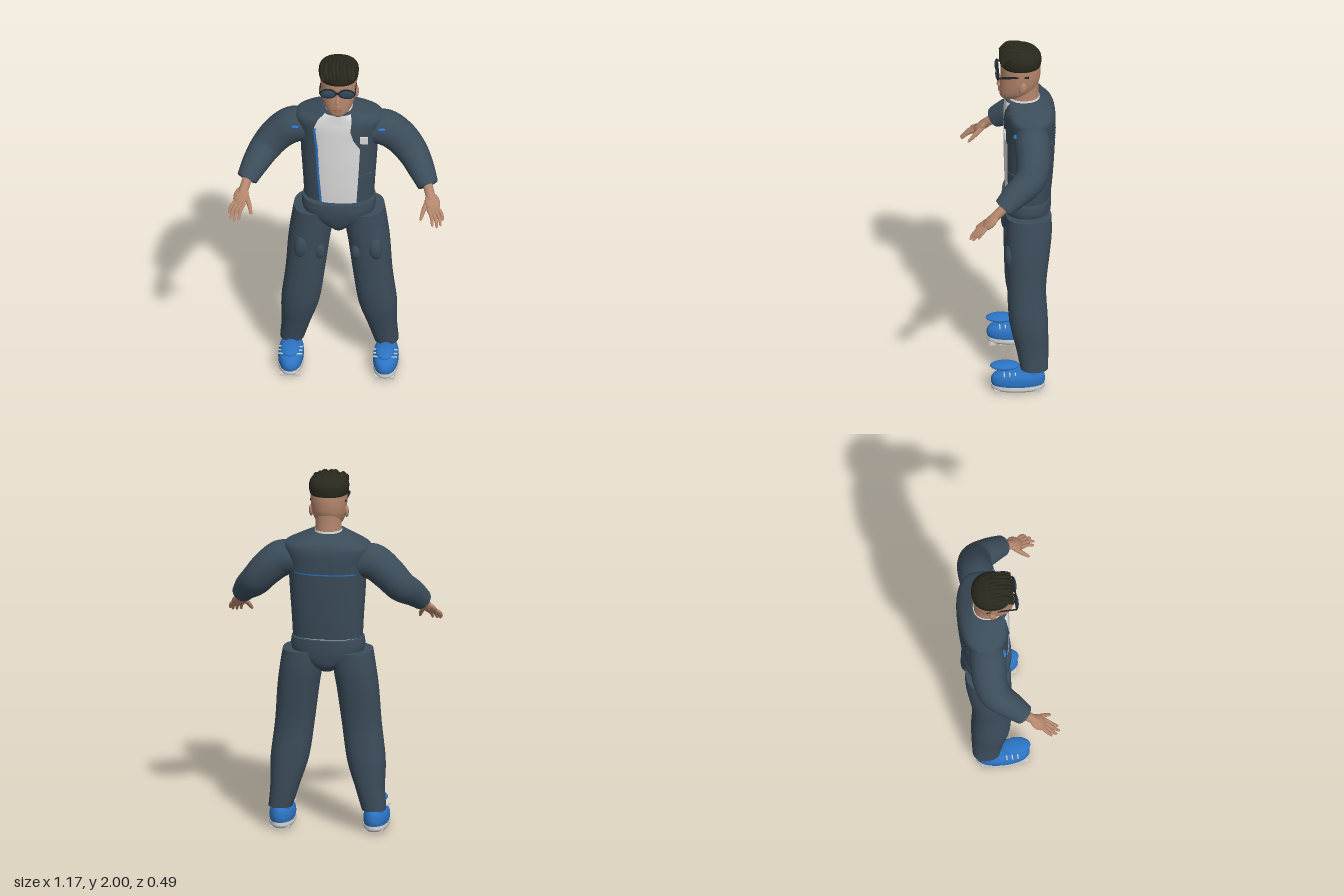
import * as THREE from 'three';

const paint = (name, color) => {
  const m = new THREE.MeshStandardMaterial({ color, side: THREE.DoubleSide });
  m.name = name;
  return m;
};
const M = {
  cloth: paint('slate cloth', 0x3b4c5a), shirt: paint('white shirt', 0xdcdcdc),
  blue: paint('bright blue', 0x2c74c4), skin: paint('skin', 0xb4866c),
  lip: paint('lips', 0x94604f), hair: paint('dark hair', 0x29281d),
  frame: paint('goggle frame', 0x1d2328), lens: paint('goggle lens', 0x33475a),
  sole: paint('sole', 0xd2d2d0),
};

function add(group, name, geometry, material, pos = [0, 0, 0], scale = [1, 1, 1]) {
  const mesh = new THREE.Mesh(geometry, material);
  mesh.name = name;
  mesh.position.set(...pos);
  mesh.scale.set(...scale);
  group.add(mesh);
  return mesh;
}
const ball = new THREE.SphereGeometry(1, 24, 16);

// Smooth a list of sections [y, centreX, halfWidth, zFront, zBack]
function smooth(s, steps = 4) {
  const out = [], at = (i) => s[Math.min(Math.max(i, 0), s.length - 1)];
  for (let i = 0; i < s.length - 1; i++) {
    for (let k = 0; k < steps; k++) {
      const t = k / steps;
      out.push(s[i].map((b, c) => {
        const a = at(i - 1)[c], d = at(i + 1)[c], e = at(i + 2)[c];
        return b + 0.5 * t * (d - a + t * (2 * a - 5 * b + 4 * d - e + t * (3 * (b - d) + e - a)));
      }));
    }
  }
  out.push(s[s.length - 1]);
  return out;
}

// Closed skin over superellipse sections, lowest first
function loft(sections, power = 2.2, seg = 48) {
  const rings = smooth(sections), pos = [], idx = [];
  const ring = ([y, cx, rx, zf, zb]) => {
    for (let j = 0; j < seg; j++) {
      const a = (j / seg) * Math.PI * 2, c = Math.cos(a), s = Math.sin(a);
      pos.push(cx + rx * Math.sign(c) * Math.abs(c) ** (2 / power), y,
        (zf + zb) / 2 + ((zf - zb) / 2) * Math.sign(s) * Math.abs(s) ** (2 / power));
    }
  };
  rings.forEach(ring);
  for (let i = 0; i < rings.length - 1; i++) {
    for (let j = 0; j < seg; j++) {
      const a = i * seg + j, b = i * seg + (j + 1) % seg;
      idx.push(a, a + seg, b, b, a + seg, b + seg);
    }
  }
  [rings[0], rings[rings.length - 1]].forEach((r, top) => {
    const start = pos.length / 3;
    ring(r);
    pos.push(r[1], r[0], (r[3] + r[4]) / 2);
    for (let j = 0; j < seg; j++) {
      const a = start + j, b = start + (j + 1) % seg;
      idx.push(start + seg, top ? b : a, top ? a : b);
    }
  });
  const g = new THREE.BufferGeometry();
  g.setAttribute('position', new THREE.Float32BufferAttribute(pos, 3));
  g.setIndex(idx);
  g.computeVertexNormals();
  return g;
}

// Tapered tube through [x, y, z, radius] points, closed at the far end
function limb(points, seg = 24, sides = 20) {
  const curve = new THREE.CatmullRomCurve3(points.map((p) => new THREE.Vector3(p[0], p[1], p[2])));
  const g = new THREE.TubeGeometry(curve, seg, 1, sides), p = g.attributes.position;
  const v = new THREE.Vector3();
  for (let i = 0; i <= seg; i++) {
    const centre = curve.getPointAt(i / seg);
    const f = curve.getUtoTmapping(i / seg) * (points.length - 1);
    const k = Math.min(Math.floor(f), points.length - 2);
    const r = i === seg ? 0.0005 : THREE.MathUtils.lerp(points[k][3], points[k + 1][3], f - k);
    for (let j = 0; j <= sides; j++) {
      const n = i * (sides + 1) + j;
      v.fromBufferAttribute(p, n).sub(centre).multiplyScalar(r).add(centre);
      p.setXYZ(n, v.x, v.y, v.z);
    }
  }
  return g;
}

const TORSO = [
  [1.1, 0, 0.19, 0.02, -0.22], [1.2, 0, 0.195, 0.026, -0.23], [1.35, 0, 0.205, 0.03, -0.24],
  [1.5, 0, 0.215, 0.03, -0.246], [1.58, 0, 0.235, 0.03, -0.246], [1.62, 0, 0.232, 0.026, -0.236],
  [1.65, 0, 0.17, 0.024, -0.212], [1.68, 0, 0.09, 0.022, -0.17]];
const POWER = 2.4;

const lookup = (rows, y) => {
  let i = 0;
  while (i < rows.length - 2 && rows[i + 1][0] < y) i++;
  const t = THREE.MathUtils.clamp((y - rows[i][0]) / (rows[i + 1][0] - rows[i][0]), 0, 1);
  return rows[i].map((a, c) => a + (rows[i + 1][c] - a) * t);
};
// Thin panel lying on the torso; place(u, v) gives x and y
function torsoPanel(place, offset, side = 1) {
  const g = new THREE.PlaneGeometry(1, 1, 24, 48), p = g.attributes.position, rows = smooth(TORSO);
  for (let i = 0; i < p.count; i++) {
    const [x, y] = place(g.attributes.uv.getX(i), g.attributes.uv.getY(i));
    const [, , rx, zf, zb] = lookup(rows, y);
    const bulge = (1 - Math.min(1, Math.abs(x / rx)) ** POWER) ** (1 / POWER);
    p.setXYZ(i, x, y, (zf + zb) / 2 + side * (((zf - zb) / 2) * bulge + offset));
  }
  g.computeVertexNormals();
  return g;
}

function buildJacket(g) {
  add(g, 'jacket', loft(TORSO, POWER, 64), M.cloth);
  add(g, 'shirtHem', loft([[1.04, 0, 0.16, 0.0, -0.19], [1.11, 0, 0.175, 0.01, -0.205]]), M.shirt);
  add(g, 'shirtCollar', loft([[1.66, 0, 0.08, 0.02, -0.165], [1.69, 0, 0.072, 0.0, -0.16]]), M.shirt);
  // Opening of the jacket: y, right edge, left edge
  const open = [[1.1, -0.1, 0.1], [1.3, -0.115, 0.112], [1.46, -0.122, 0.12], [1.52, -0.13, 0.085],
    [1.58, -0.135, 0.068], [1.64, -0.11, 0.075], [1.68, -0.07, 0.07]];
  const between = (a, b, y) => a + (b - a) * y;
  add(g, 'shirtFront', torsoPanel((u, v) => {
    const y = between(1.1, 1.678, v), [, l, r] = lookup(open, y);
    return [between(l, r, u), y];
  }, 0.004), M.shirt);
  add(g, 'zipStripe', torsoPanel((u, v) => {
    const y = between(1.1, 1.59, v), l = lookup(open, y)[1];
    return [l + 0.013 * u, y];
  }, 0.008), M.blue);
  add(g, 'lapel', torsoPanel((u, v) => {
    const y = between(1.46, 1.65, v), r = lookup(open, y)[2];
    return [between(r, 0.13, u), y];
  }, 0.01), M.cloth);
  add(g, 'backStripe', torsoPanel((u, v) => [between(-0.17, 0.17, u), 1.467 + 0.007 * v], 0.004, -1), M.blue);
  add(g, 'chestBadge', new THREE.BoxGeometry(0.042, 0.042, 0.009), M.shirt, [0.142, 1.527, 0.034]);
  add(g, 'pocketWelt', new THREE.BoxGeometry(0.08, 0.022, 0.012), M.cloth, [0.147, 1.27, -0.002])
    .rotation.set(0, 0.4, 0.15);
}

function buildHead(g) {
  add(g, 'neck', loft([[1.62, 0, 0.075, 0.0, -0.16], [1.72, 0, 0.07, 0.0, -0.155], [1.8, 0, 0.07, 0, -0.155]]), M.skin);
  add(g, 'head', loft([[1.685, 0, 0.03, 0.044, -0.02], [1.7, 0, 0.055, 0.055, -0.08],
    [1.73, 0, 0.077, 0.058, -0.125], [1.78, 0, 0.092, 0.055, -0.155], [1.83, 0, 0.098, 0.05, -0.165],
    [1.88, 0, 0.1, 0.05, -0.165], [1.93, 0, 0.094, 0.04, -0.155], [1.97, 0, 0.05, 0, -0.1]], 2.1), M.skin);
  add(g, 'nose', ball, M.skin, [0, 1.785, 0.056], [0.012, 0.033, 0.014]).rotation.x = -0.2;
  add(g, 'noseTip', ball, M.skin, [0, 1.765, 0.06], [0.017, 0.01, 0.013]);
  add(g, 'upperLip', ball, M.lip, [0, 1.739, 0.056], [0.027, 0.005, 0.008]);
  add(g, 'lowerLip', ball, M.lip, [0, 1.73, 0.056], [0.022, 0.006, 0.009]);
  add(g, 'hairCap', loft([[1.885, 0, 0.1, 0.046, -0.166], [1.905, 0, 0.107, 0.056, -0.17],
    [1.945, 0, 0.107, 0.052, -0.166], [1.975, 0, 0.088, 0.03, -0.135], [1.99, 0, 0.045, 0, -0.09]]), M.hair);
  // Locks combed from the crown to the brow
  for (let i = 0; i < 9; i++) {
    const x = -0.084 + i * 0.02, drop = 3 * x * x, w = 0.005 * Math.sin(i * 2.3);
    add(g, 'hairLock', limb([[x * 0.8, 1.955 - drop, -0.13 + drop, 0.008], [x + w, 1.983 - drop, -0.06, 0.015],
      [x - w, 1.98 - drop + w, 0.01, 0.016], [x + 0.006, 1.945 - drop, 0.048, 0.012],
      [x + 0.008, 1.92, 0.055 - drop, 0.005]], 20, 10), M.hair);
  }
  for (const s of [-1, 1]) {
    add(g, 'ear', ball, M.skin, [s * 0.097, 1.785, -0.065], [0.012, 0.034, 0.02]).rotation.x = -0.2;
    add(g, 'eye', ball, M.lip, [s * 0.037, 1.812, 0.041], [0.016, 0.005, 0.006]);
    add(g, 'goggleLens', ball, M.lens, [s * 0.05, 1.853, 0.071], [0.041, 0.025, 0.011]);
    add(g, 'goggleRim', new THREE.TorusGeometry(0.04, 0.006, 10, 32), M.frame, [s * 0.05, 1.853, 0.068], [1, 0.65, 1]);
    add(g, 'goggleArm', new THREE.BoxGeometry(0.005, 0.011, 0.165), M.frame, [s * 0.096, 1.853, -0.015]);
  }
  add(g, 'goggleBridge', new THREE.BoxGeometry(0.025, 0.01, 0.01), M.frame, [0, 1.856, 0.07]);
}

// Arm and hand on the +x side
function buildArm() {
  const g = new THREE.Group();
  add(g, 'sleeve', limb([[0.15, 1.525, -0.11, 0.09], [0.25, 1.52, -0.11, 0.1], [0.33, 1.46, -0.112, 0.094],
    [0.395, 1.385, -0.09, 0.086], [0.45, 1.325, -0.01, 0.073], [0.495, 1.262, 0.065, 0.056]], 40, 28), M.cloth);
  add(g, 'shoulderMark', ball, M.blue, [0.235, 1.565, -0.02], [0.022, 0.007, 0.012]);
  add(g, 'wrist', limb([[0.485, 1.275, 0.045, 0.027], [0.505, 1.23, 0.1, 0.026], [0.515, 1.205, 0.125, 0.026]]), M.skin);
  add(g, 'palm', ball, M.skin, [0.519, 1.202, 0.13], [0.042, 0.02, 0.056]).lookAt(0.565, 1.09, 0.25);
  const fingers = [[0.5, 1.18, 0.165, 0.525, 1.115, 0.24], [0.52, 1.175, 0.17, 0.55, 1.11, 0.245],
    [0.537, 1.175, 0.165, 0.57, 1.115, 0.228], [0.55, 1.18, 0.155, 0.58, 1.13, 0.2]];
  for (const [a, b, c, d, e, f] of fingers) {
    add(g, 'finger', limb([[a, b, c, 0.012], [(a + d) / 2 + 0.006, (b + e) / 2 + 0.006, (c + f) / 2, 0.0105],
      [d, e, f, 0.006]], 12, 10), M.skin);
  }
  add(g, 'thumb', limb([[0.5, 1.215, 0.115, 0.016], [0.475, 1.175, 0.16, 0.013], [0.457, 1.13, 0.208, 0.007]], 12, 10), M.skin);
  return g;
}

// Trouser leg and shoe on the +x side
function buildLeg() {
  const g = new THREE.Group();
  add(g, 'trouserLeg', loft([[0.13, 0.255, 0.066, -0.045, -0.195], [0.25, 0.232, 0.08, -0.02, -0.197],
    [0.4, 0.209, 0.104, 0.014, -0.196], [0.6, 0.183, 0.107, 0.024, -0.187], [0.8, 0.163, 0.113, 0.028, -0.208],
    [0.92, 0.146, 0.115, 0.028, -0.22], [1.02, 0.136, 0.109, 0.028, -0.218]], 2.3), M.cloth);
  add(g, 'kneePatch', ball, M.cloth, [0.2, 0.8, 0.005], [0.04, 0.075, 0.035]).rotation.z = 0.1;
  add(g, 'thighFold', ball, M.cloth, [0.1, 0.77, 0.0], [0.03, 0.05, 0.028]);
  add(g, 'ankle', new THREE.CylinderGeometry(0.045, 0.05, 0.12, 24), M.blue, [0.257, 0.13, -0.11]);
  add(g, 'sole', loft([[0.008, 0.257, 0.06, 0.1, -0.165], [0.02, 0.257, 0.069, 0.115, -0.177],
    [0.04, 0.257, 0.068, 0.115, -0.177]], 2.2), M.sole);
  add(g, 'shoeUpper', loft([[0.035, 0.257, 0.065, 0.11, -0.172], [0.06, 0.257, 0.069, 0.116, -0.178],
    [0.09, 0.257, 0.066, 0.105, -0.175], [0.11, 0.257, 0.055, 0.07, -0.168], [0.122, 0.257, 0.045, 0.02, -0.155]], 2.2), M.blue);
  add(g, 'tongue', ball, M.blue, [0.257, 0.148, 0.04], [0.05, 0.018, 0.08]);
  for (let i = 0; i < 5; i++) {
    const z = 0.085 - i * 0.055;
    for (const s of [-1, 1]) add(g, 'soleLug', new THREE.BoxGeometry(0.035, 0.018, 0.032), M.sole, [0.257 + s * 0.034, 0.009, z]);
    if (i < 3) {
      add(g, 'lace', new THREE.CylinderGeometry(0.004, 0.004, 0.13, 8), M.sole, [0.257, 0.112 + i * 0.003, 0.045 - i * 0.03])
        .rotation.z = Math.PI / 2;
    }
  }
  return g;
}

export function createModel() {
  const model = new THREE.Group();
  model.name = 'figure';
  buildJacket(model);
  buildHead(model);
  add(model, 'trouserSeat', loft([[0.905, 0, 0.04, 0.0, -0.17], [0.94, 0, 0.1, 0.022, -0.205],
    [0.99, 0, 0.175, 0.038, -0.218], [1.04, 0, 0.2, 0.045, -0.222], [1.09, 0, 0.197, 0.042, -0.222]], 2.4), M.cloth);
  for (const s of [1, -1]) {
    const arm = buildArm(), leg = buildLeg();
    arm.name = s > 0 ? 'leftArm' : 'rightArm';
    leg.name = s > 0 ? 'leftLeg' : 'rightLeg';
    arm.scale.x = leg.scale.x = s;
    model.add(arm, leg);
  }
  return model;
}
